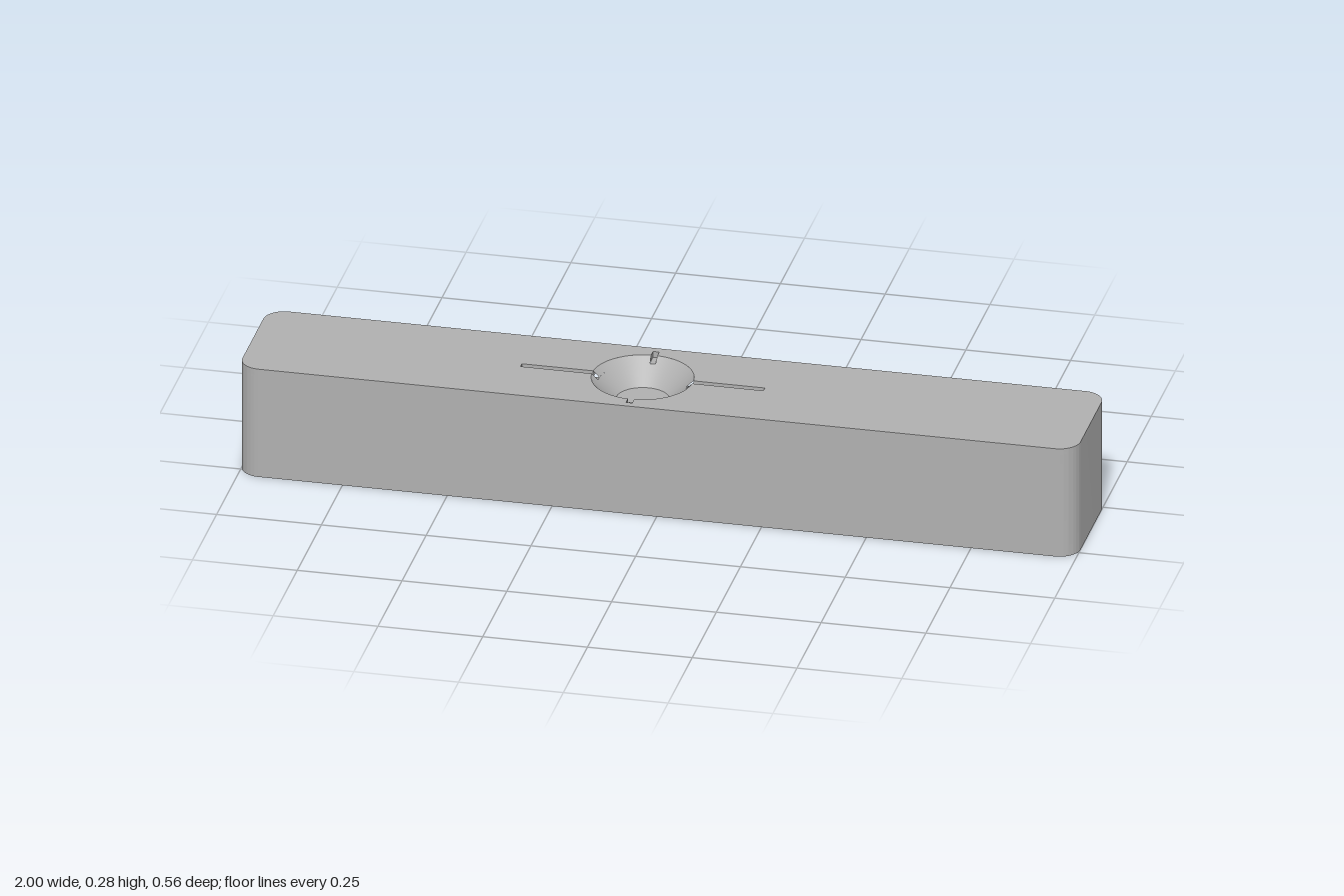
import * as THREE from 'three';
import { toCreasedNormals } from 'three/addons/utils/BufferGeometryUtils.js';

const HEIGHT = 0.278, DEPTH = 0.317, CORNER = 0.05;
const BODY_Z = 0.1235, WELL_X = -0.07;
const WELL_TOP = 0.12, WELL_BOTTOM = 0.063, WELL_DEPTH = 0.057;
const GROOVE_HALF = 0.0075, GROOVE_DEPTH = 0.015;
const GROOVE_REACH = [0.29, 0.14, 0.29, 0.14];

// Rounded rectangle outline of the block
function blockShape() {
  const x = 1, y = DEPTH / 2, r = CORNER, s = new THREE.Shape();
  s.absarc(x - r, y - r, r, 0, Math.PI / 2);
  s.absarc(-x + r, y - r, r, Math.PI / 2, Math.PI);
  s.absarc(-x + r, -y + r, r, Math.PI, Math.PI * 1.5);
  s.absarc(x - r, -y + r, r, Math.PI * 1.5, Math.PI * 2);
  s.closePath();
  return s;
}

// Circular opening with four radial slots
function openingPath() {
  const p = new THREE.Path(), a = Math.asin(GROOVE_HALF / WELL_TOP);
  GROOVE_REACH.forEach((reach, k) => {
    const ang = k * Math.PI / 2, c = Math.cos(ang), s = Math.sin(ang);
    [-GROOVE_HALF, GROOVE_HALF].forEach((w, i) => {
      const x = WELL_X + reach * c - w * s, y = reach * s + w * c;
      if (k === 0 && i === 0) p.moveTo(x, y); else p.lineTo(x, y);
    });
    p.absarc(WELL_X, 0, WELL_TOP, ang + a, ang + Math.PI / 2 - a);
  });
  p.closePath();
  return p;
}

// Side walls of an extruded shape, without its caps
function wallGeometry(shape, height) {
  const full = new THREE.ExtrudeGeometry(shape, { depth: height, bevelEnabled: false, curveSegments: 16 });
  const side = full.groups.find((g) => g.materialIndex === 1);
  const pos = full.attributes.position.array.slice(side.start * 3, (side.start + side.count) * 3);
  const geo = new THREE.BufferGeometry();
  geo.setAttribute('position', new THREE.BufferAttribute(pos, 3));
  return toCreasedNormals(geo, 0.5).rotateX(-Math.PI / 2);
}

function lathe(points, segments, start = 0, length = Math.PI * 2) {
  const pts = points.map(([r, y]) => new THREE.Vector2(r, y));
  return new THREE.LatheGeometry(pts, segments, start, length);
}

export function createModel() {
  const model = new THREE.Group();
  model.name = 'barbedManifold';
  const grey = new THREE.MeshStandardMaterial({ color: 0xb0b0b0 });
  grey.name = 'grey';
  const add = (parent, name, geo, x = 0, y = 0, z = 0) => {
    const mesh = new THREE.Mesh(geo, grey);
    mesh.name = name;
    mesh.position.set(x, y, z);
    parent.add(mesh);
    return mesh;
  };

  // Block: walls, underside and slotted top
  const block = new THREE.Group();
  block.name = 'block';
  block.position.z = BODY_Z;
  model.add(block);
  const solid = blockShape(), slotted = blockShape();
  slotted.holes.push(openingPath());
  const ledge = HEIGHT - GROOVE_DEPTH;
  add(block, 'lowerWalls', wallGeometry(solid, ledge));
  add(block, 'upperWalls', wallGeometry(slotted, GROOVE_DEPTH), 0, ledge, 0);
  add(block, 'underside', new THREE.ShapeGeometry(solid, 16).rotateX(Math.PI / 2));
  add(block, 'topFace', new THREE.ShapeGeometry(slotted, 16).rotateX(-Math.PI / 2), 0, HEIGHT, 0);

  // Conical well with a flat floor; its rim is cut by the grooves
  const well = new THREE.Group();
  well.name = 'well';
  well.position.set(WELL_X, HEIGHT, 0);
  block.add(well);
  const rimInner = WELL_TOP - GROOVE_DEPTH;
  add(well, 'wellCone', lathe([[rimInner, -GROOVE_DEPTH], [WELL_BOTTOM, -WELL_DEPTH]], 64));
  add(well, 'wellFloor', new THREE.CircleGeometry(WELL_BOTTOM, 64).rotateX(-Math.PI / 2), 0, -WELL_DEPTH, 0);
  const gap = Math.asin(GROOVE_HALF / WELL_TOP);
  GROOVE_REACH.forEach((reach, k) => {
    const turn = k * Math.PI / 2;
    add(well, 'wellRim', lathe([[WELL_TOP, 0], [rimInner, -GROOVE_DEPTH]], 16, turn + gap, Math.PI / 2 - 2 * gap));
    const floor = new THREE.PlaneGeometry(reach - rimInner, GROOVE_HALF * 2)
      .rotateX(-Math.PI / 2).translate((reach + rimInner) / 2, 0, 0).rotateY(turn);
    add(well, 'grooveFloor', floor, 0, -GROOVE_DEPTH, 0);
  });

  // Hollow hose barb, trimmed flat where it would dip below the base
  const barbY = 0.0725, big = 0.08, small = 0.0645, bore = 0.044;
  const profile = [
    [big, 0], [big, 0.015], [small, 0.091], [big, 0.091], [small, 0.163],
    [big, 0.163], [small, 0.235], [small, 0.247], [bore, 0.247], [bore, 0],
  ];
  const barb = lathe(profile, 96).rotateX(-Math.PI / 2);
  const pos = barb.attributes.position;
  for (let i = 0; i < pos.count; i++) pos.setY(i, Math.max(pos.getY(i), -barbY));
  add(model, 'hoseBarb', toCreasedNormals(barb, 0.5), 0.755, barbY, BODY_Z - DEPTH / 2);

  return model;
}
